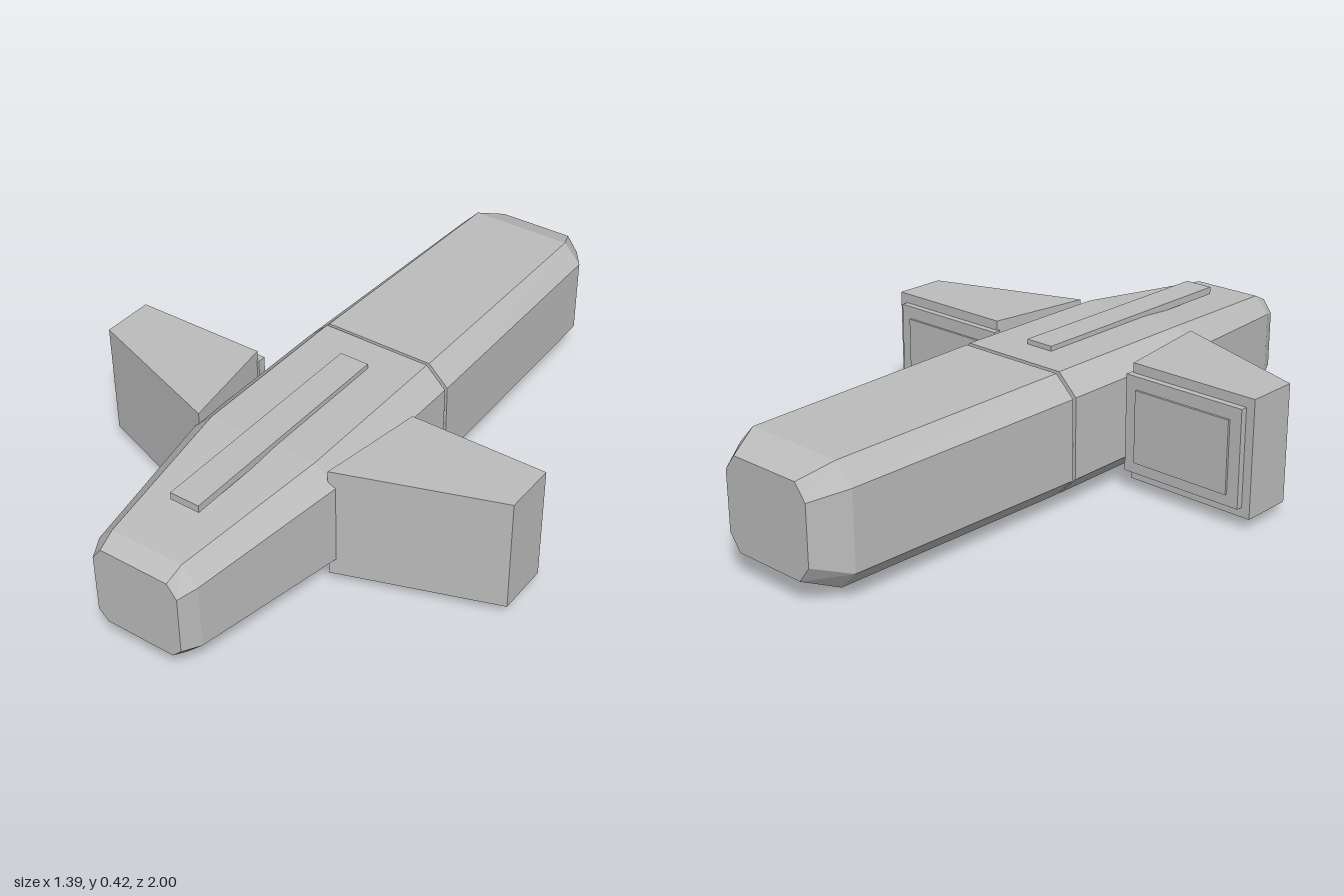
import * as THREE from 'three';

const grey = new THREE.MeshStandardMaterial({ color: 0xbcbcbc });
grey.name = 'grey';

// Chamfered hull lofted through octagonal sections, ordered front to back.
// Section: [z, half width, half width of flat top, bottom, lower bevel, upper bevel, top]
function hull(sections) {
  const rings = sections.map(([z, w, t, y0, y1, y2, y3]) =>
    [[w, y1], [w, y2], [t, y3], [-t, y3], [-w, y2], [-w, y1], [-t, y0], [t, y0]].map(([x, y]) => [x, y, z]));
  const pos = [];
  const tri = (a, b, c) => pos.push(...a, ...b, ...c);
  for (let i = 0; i < rings.length - 1; i++) {
    for (let j = 0; j < 8; j++) {
      const k = (j + 1) % 8, p = rings[i], q = rings[i + 1];
      tri(p[j], q[j], q[k]);
      tri(p[j], q[k], p[k]);
    }
  }
  const first = rings[0], last = rings[rings.length - 1];
  for (let j = 1; j < 7; j++) {
    tri(first[0], first[j], first[j + 1]);
    tri(last[0], last[j + 1], last[j]);
  }
  const geo = new THREE.BufferGeometry();
  geo.setAttribute('position', new THREE.Float32BufferAttribute(pos, 3));
  geo.computeVertexNormals();
  return geo;
}

// Box given by its limits on each axis
function block([x0, x1], [y0, y1], [z0, z1]) {
  return new THREE.BoxGeometry(x1 - x0, y1 - y0, z1 - z0)
    .translate((x0 + x1) / 2, (y0 + y1) / 2, (z0 + z1) / 2);
}

export function createModel() {
  const model = new THREE.Group();
  model.name = 'craft';
  const add = (name, geo, parent = model) => {
    const mesh = new THREE.Mesh(geo, grey);
    mesh.name = name;
    parent.add(mesh);
  };

  // Two hull halves with a narrow gap between them
  add('frontHull', hull([
    [1.0, 0.14, 0.11, 0.09, 0.12, 0.3, 0.34],
    [0.945, 0.165, 0.115, 0.063, 0.112, 0.314, 0.366],
    [0.46, 0.24, 0.176, 0.027, 0.09, 0.341, 0.403],
    [-0.08, 0.24, 0.176, 0.027, 0.09, 0.341, 0.403],
  ]));
  add('rearHull', hull([
    [-0.092, 0.24, 0.176, 0.027, 0.09, 0.34, 0.401],
    [-0.9, 0.22, 0.163, 0.035, 0.094, 0.332, 0.392],
    [-1.0, 0.157, 0.12, 0.075, 0.125, 0.305, 0.353],
  ]));

  // Raised strips on the back and belly
  add('topStrip', block([-0.047, 0.047], [0.395, 0.418], [0.03, 0.79]));
  add('frontBellyStrip', block([-0.037, 0.037], [0.01, 0.035], [-0.015, 0.89]));
  add('frontBellyRib', block([-0.008, 0.008], [0, 0.012], [0.345, 0.55]));
  add('rearBellyStrip', block([-0.037, 0.037], [0.016, 0.04], [-0.9, -0.14]));
  add('rearBellyRib', block([-0.008, 0.008], [0.009, 0.02], [-0.8, -0.58]));

  // Wings with stepped panels on their rear faces, and small pads in the gap
  for (const [side, s] of [['left', 1], ['right', -1]]) {
    const group = new THREE.Group();
    group.name = side + 'Wing';
    model.add(group);
    const span = (a, b) => (s > 0 ? [a, b] : [-b, -a]);

    const plan = new THREE.Shape([[0.27, 0.135], [0.695, 0.135], [0.695, 0.3], [0.22, 0.465]]
      .map(([x, z]) => new THREE.Vector2(s * x, -z)));
    const wing = new THREE.ExtrudeGeometry(plan, { depth: 0.36, bevelEnabled: false })
      .rotateX(-Math.PI / 2).translate(0, 0.035, 0);
    add('wing', wing, group);
    add('rearPlate', block(span(0.262, 0.668), [0.065, 0.365], [0.114, 0.14]), group);
    add('rearPanel', block(span(0.3, 0.63), [0.1, 0.325], [0.107, 0.12]), group);
    add('gapPad', block(span(0.118, 0.17), [0.15, 0.28], [-0.086, -0.075]), group);
  }
  return model;
}
